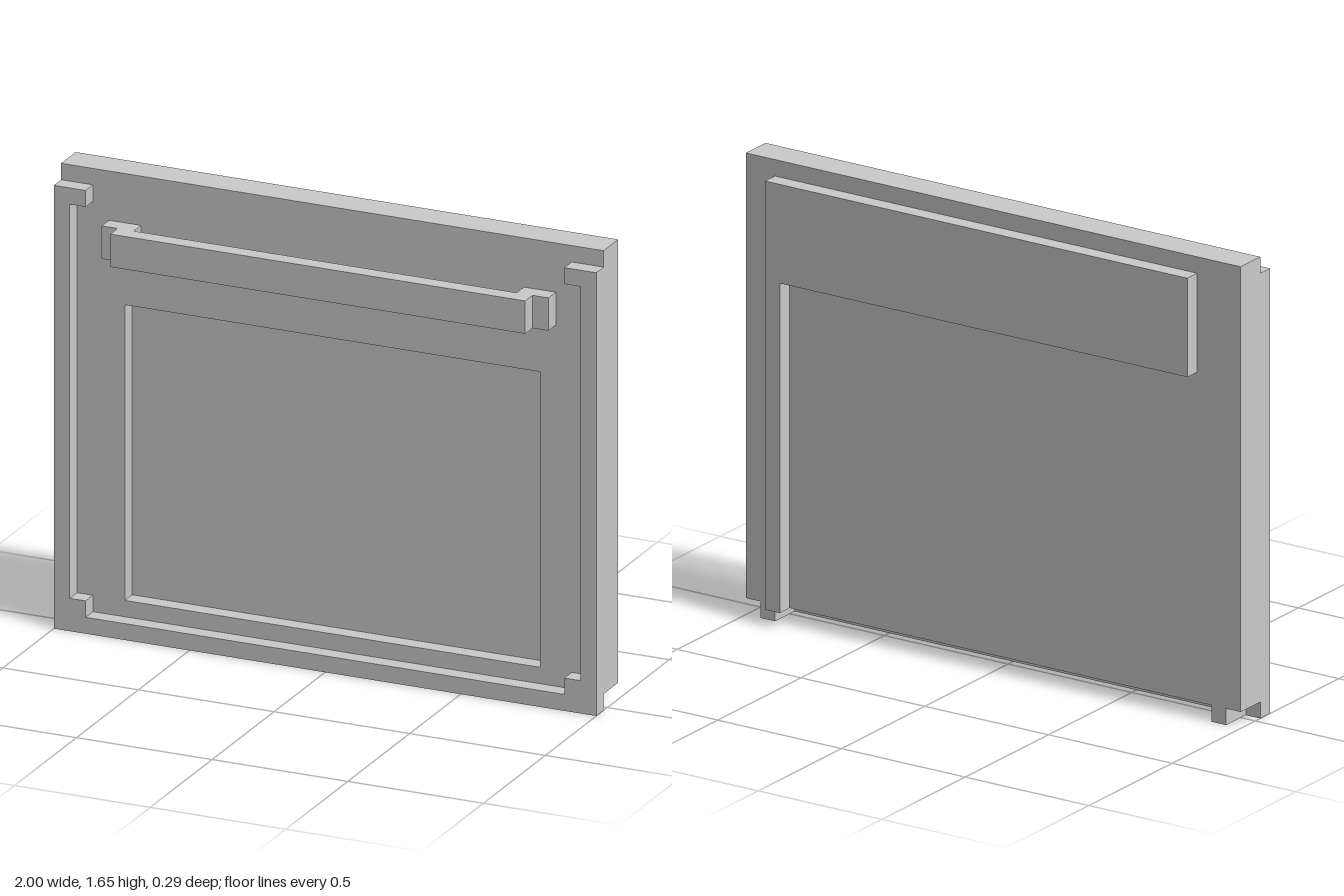
import * as THREE from 'three';

const U = 1 / 17; // one grid step of the blocky design

export function createModel() {
  const group = new THREE.Group();
  const material = new THREE.MeshStandardMaterial({ color: 0xcccccc, flatShading: true });

  const add = (name, geometry) => {
    geometry.scale(U, U, U);
    const mesh = new THREE.Mesh(geometry, material);
    mesh.name = name;
    group.add(mesh);
  };
  const points = (list) => list.map(([x, y]) => new THREE.Vector2(x, y));
  const extrude = (outline, depth, hole) => {
    const shape = new THREE.Shape(points(outline));
    if (hole) shape.holes.push(new THREE.Path(points(hole)));
    return new THREE.ExtrudeGeometry(shape, { depth, bevelEnabled: false });
  };
  const rect = (x, y0, y1) => [[-x, y0], [x, y0], [x, y1], [-x, y1]];
  // completes a right-hand outline with its mirror image
  const mirrored = (half) => [...half, ...half.map(([x, y]) => [-x, y]).reverse()];

  // Door: solid back slab and a front plate with a sunken window
  add('backSlab', new THREE.BoxGeometry(34, 27, 1).translate(0, 14.5, -1));
  add('windowPlate', extrude(rect(17, 1, 28), 1, rect(13, 2, 20)).translate(0, 0, -0.5));

  // Raised border, open at the top, with stepped corners
  add('frontFrame', extrude(mirrored([
    [17, 0], [17, 27], [15, 27], [15, 26], [16, 26], [16, 2], [15, 2], [15, 1],
  ]), 1).translate(0, 0, 0.5));

  // Handle bar with its two mounts, drawn from above and extruded downward
  add('handle', extrude(mirrored([
    [12, 1.5], [12, 0.5], [14, 0.5], [14, 1.5], [13, 1.5], [13, 2.5],
  ]), 2).rotateX(Math.PI / 2).translate(0, 25, 0));

  // Back cover: wide strip with a narrow column down one side
  add('backCover', extrude([
    [14, 1], [15, 1], [15, 27], [-14, 27], [-14, 21], [14, 21],
  ], 1).translate(0, 0, -2.5));

  // Feet below the slab
  for (const side of [-1, 1]) {
    add(side > 0 ? 'leftFoot' : 'rightFoot',
      new THREE.BoxGeometry(1, 1, 2).translate(side * 15.5, 0.5, -0.5));
  }
  return group;
}
